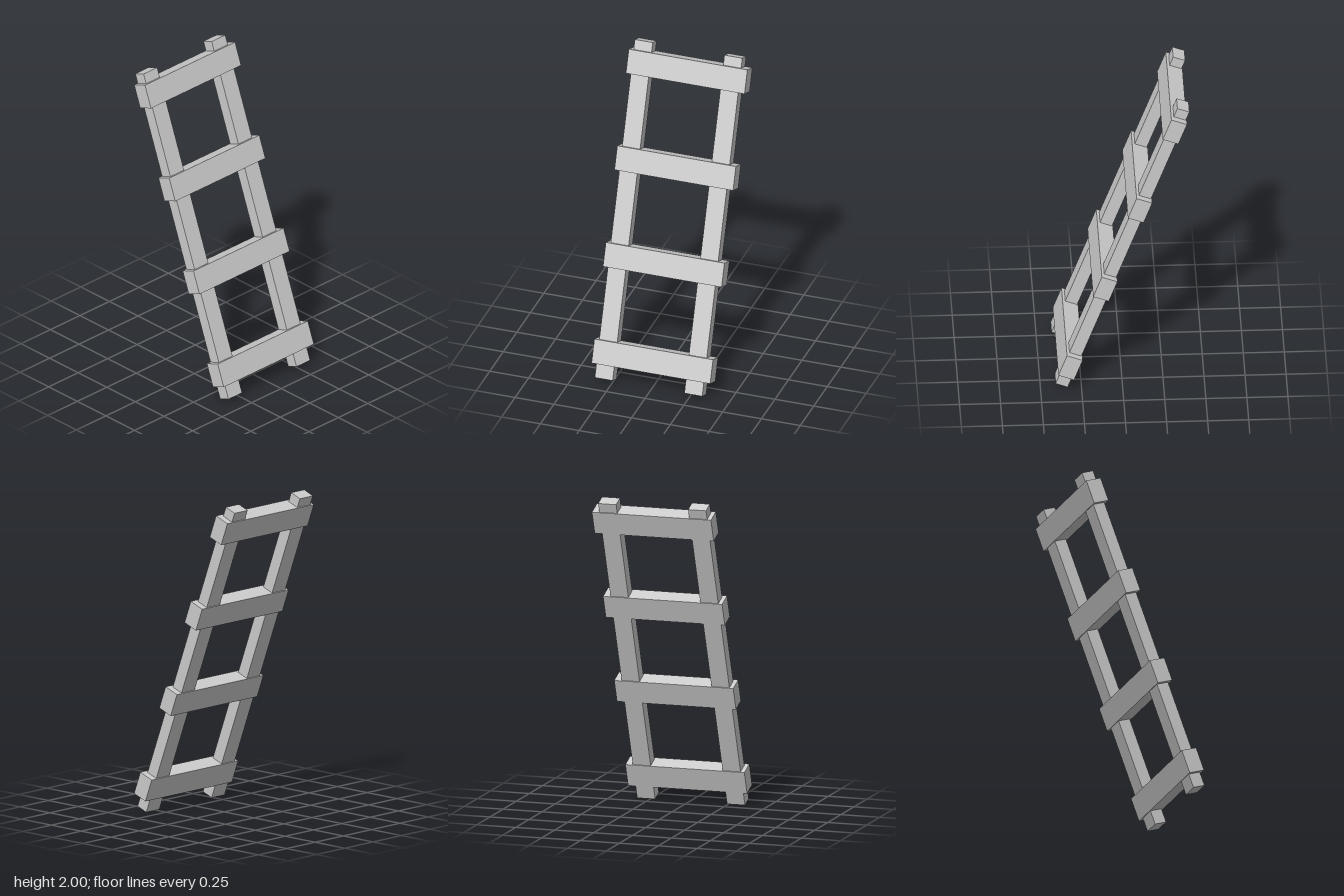
import * as THREE from 'three';

const TILT = 0.3595; // backward lean of the ladder

export function createModel() {
  const model = new THREE.Group();
  const material = new THREE.MeshStandardMaterial({ color: 0xcccccc, flatShading: true });

  // The ladder is built upright, then leaned back as one piece
  const ladder = new THREE.Group();
  ladder.name = 'ladder';
  ladder.position.y = 1;
  ladder.rotation.x = -TILT;
  model.add(ladder);

  function addBox(name, size, position) {
    const mesh = new THREE.Mesh(new THREE.BoxGeometry(...size), material);
    mesh.name = name;
    mesh.position.set(...position);
    ladder.add(mesh);
  }

  // Two side rails, set slightly off centre
  addBox('leftRail', [0.115, 2.107, 0.078], [0.2785, 0, 0]);
  addBox('rightRail', [0.115, 2.107, 0.078], [-0.2985, 0, 0]);

  // Four evenly spaced rungs, thicker than the rails
  for (let i = 0; i < 4; i++) {
    addBox(`rung${i + 1}`, [0.764, 0.15, 0.1015], [0, -0.89 + i * 0.602, 0.006]);
  }

  return model;
}
